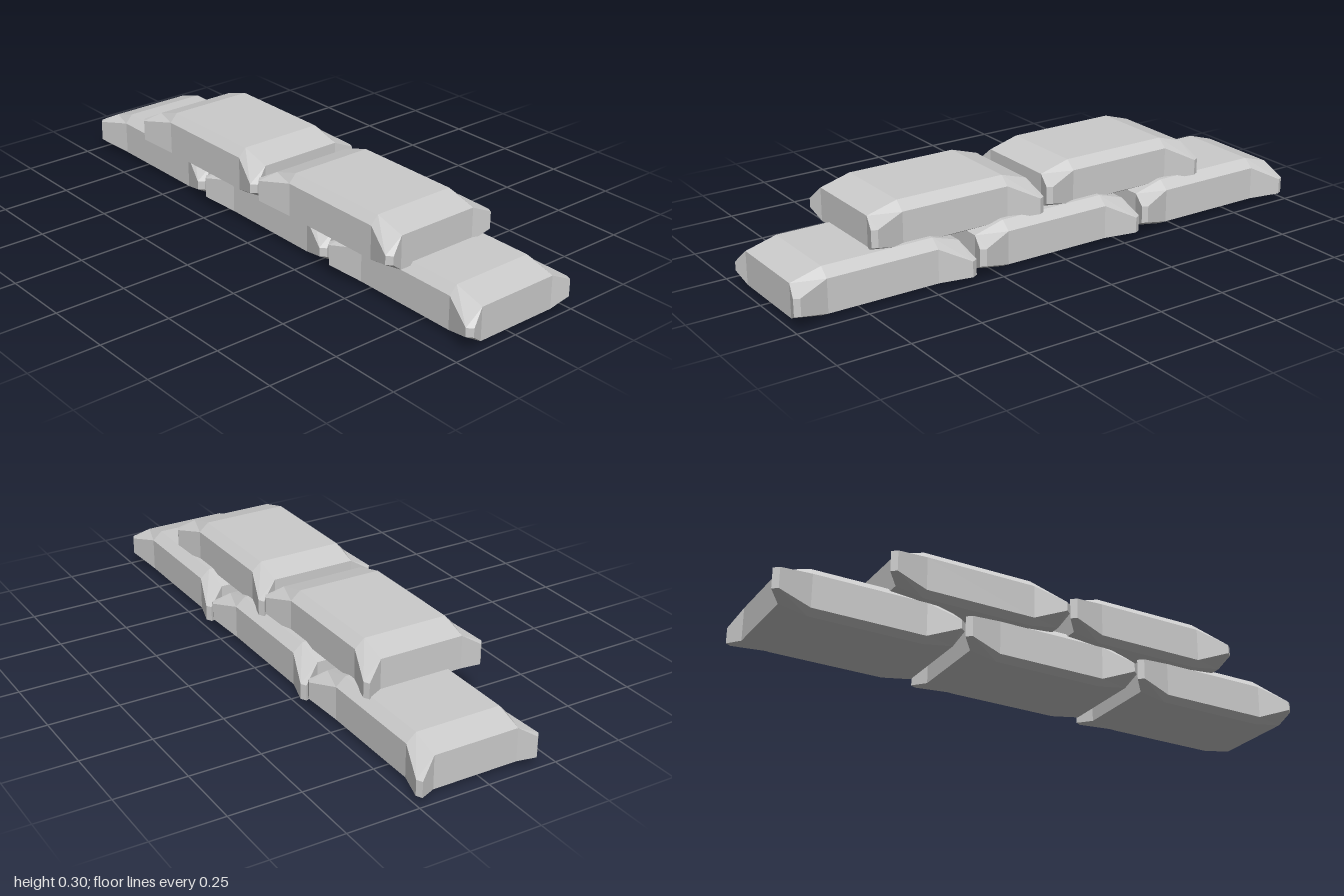
import * as THREE from 'three';

// Pinched corner tips: x and z of the side edge (F) and end edge (E), low and high y
const TIPS = {
  leftFront: { F: [-0.325, 0.213], E: [-0.343, 0.197], y: [0.04, 0.112] },
  leftBack: { F: [-0.313, -0.2225], E: [-0.333, -0.212], y: [0.025, 0.08] },
  rightFront: { F: [0.3, 0.217], E: [0.319, 0.2], y: [0.055, 0.086] },
  rightBack: { F: [0.302, -0.222], E: [0.322, -0.213], y: [0.05, 0.11] },
};
const END = 0.302, TOP_Z = 0.1525;

// Eight-point section through the full part of the bag, counter-clockwise seen from +x
function bodyRing(x) {
  return [[0.165, TOP_Z], [0.135, 0.18], [0.018, 0.18], [0, TOP_Z],
    [0, -TOP_Z], [0.018, -0.187], [0.135, -0.187], [0.165, -TOP_Z]].map(([y, z]) => [x, y, z]);
}

// Section at a bag end, whose sides run out to the corner tips
function endRing(x, front, back, edge) {
  const tip = (c, i) => [c[edge][0], c.y[i], c[edge][1]];
  return [[x, 0.135, TOP_Z], tip(front, 1), tip(front, 0), [x, 0.018, TOP_Z],
    [x, 0.018, -TOP_Z], tip(back, 0), tip(back, 1), [x, 0.135, -TOP_Z]];
}

function bagGeometry() {
  const { leftFront: lf, leftBack: lb, rightFront: rf, rightBack: rb } = TIPS;
  const rings = [
    endRing(-END, lf, lb, 'E'), endRing(-END, lf, lb, 'F'),
    bodyRing(-0.205), bodyRing(0.193),
    endRing(END, rf, rb, 'F'), endRing(END, rf, rb, 'E'),
  ];
  const pos = [];
  const same = (p, q) => p.every((v, i) => v === q[i]);
  const tri = (a, b, c) => {
    if (!same(a, b) && !same(b, c) && !same(c, a)) pos.push(...a, ...b, ...c);
  };
  const quad = (a, b, c, d) => { tri(a, b, c); tri(a, c, d); };

  // Skin between neighbouring sections
  for (let i = 0; i < rings.length - 1; i++) {
    for (let j = 0; j < 8; j++) {
      const k = (j + 1) % 8;
      quad(rings[i][j], rings[i][k], rings[i + 1][k], rings[i + 1][j]);
    }
  }
  // End panels with a flared wing at each side
  for (const [a, b, c, d] of [[0, 1, 2, 3], [0, 3, 4, 7], [4, 5, 6, 7]]) {
    const r = rings[5], l = rings[0];
    quad(r[a], r[b], r[c], r[d]);
    quad(l[d], l[c], l[b], l[a]);
  }
  const geo = new THREE.BufferGeometry();
  geo.setAttribute('position', new THREE.Float32BufferAttribute(pos, 3));
  geo.computeVertexNormals();
  return geo;
}

export function createModel() {
  const group = new THREE.Group();
  group.name = 'sandbagStack';
  const material = new THREE.MeshStandardMaterial({ color: 0xcccccc, flatShading: true });
  const geometry = bagGeometry();

  // Two staggered courses of bags, the upper one set forward
  const courses = [
    { name: 'lowerSandbag', xs: [-0.657, 0.01, 0.678], y: 0, z: -0.0225 },
    { name: 'upperSandbag', xs: [-0.288, 0.378], y: 0.135, z: 0.0275 },
  ];
  for (const { name, xs, y, z } of courses) {
    xs.forEach((x, i) => {
      const bag = new THREE.Mesh(geometry, material);
      bag.name = `${name}${i + 1}`;
      bag.position.set(x, y, z);
      group.add(bag);
    });
  }
  return group;
}
